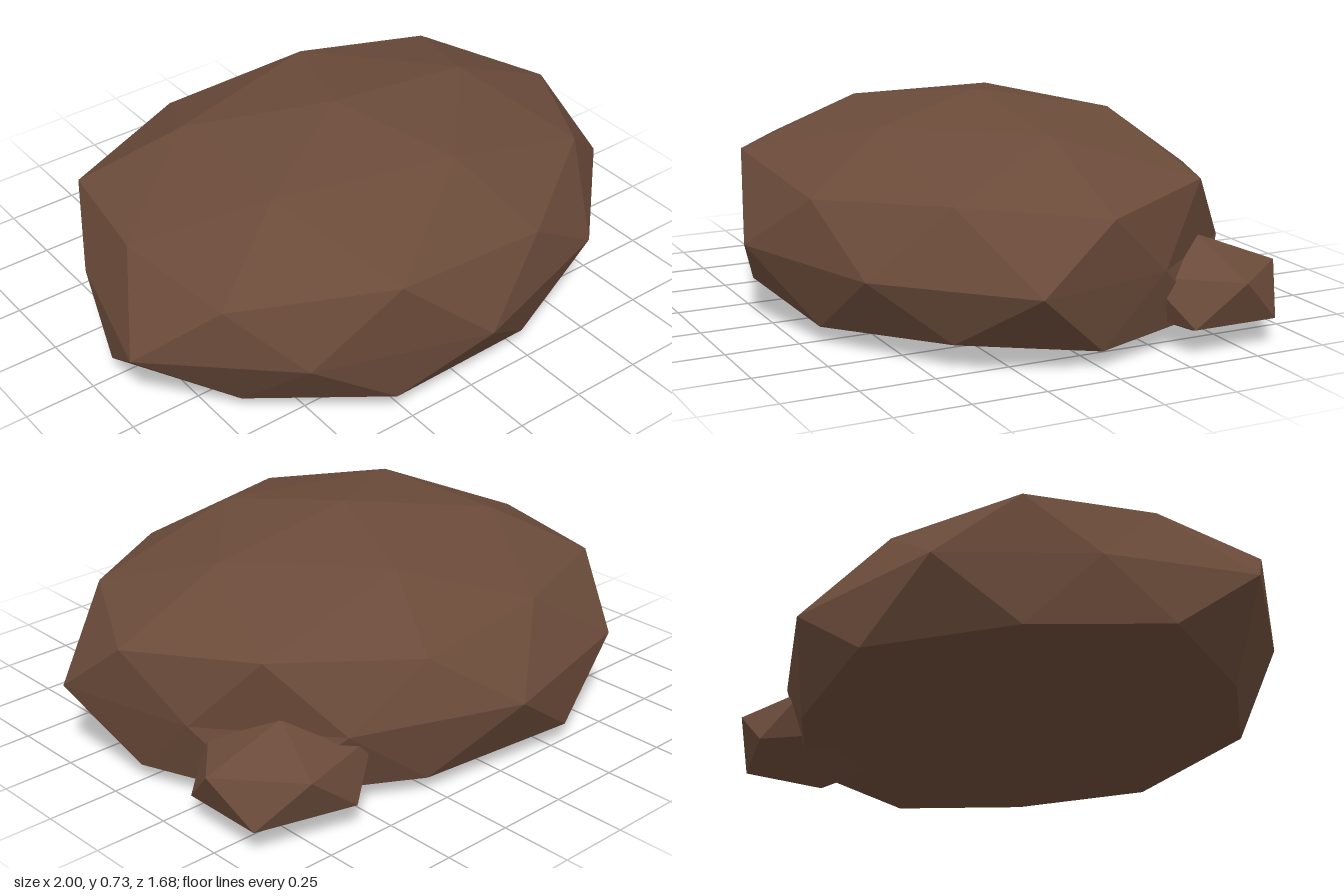
import * as THREE from 'three';

const brown = new THREE.MeshStandardMaterial({ color: 0x6b4b3a });
brown.name = 'brown stone';

// Faceted ball with one corner pointing straight up
function facetedBall(detail) {
  const g = new THREE.IcosahedronGeometry(1, detail);
  g.rotateZ(-Math.atan2(2, 1 + Math.sqrt(5)));
  return g;
}

// Radial wear of each ring of corners, every 36 degrees from +x towards +z
const upperWear = [1.02, 1, 0.99, 1.08, 1.02, 0.93, 0.99, 0.93, 0.93, 1.03];
const middleWear = [1, 0.96, 0.99, 0.94, 1, 0.87, 0.99, 0.99, 0.91, 0.88];
const lowerWear = [1, 0.95, 1, 0.99, 0.94, 0.98, 1, 1.05, 1, 1];

function wearAt(v) {
  const turn = (THREE.MathUtils.radToDeg(Math.atan2(v.z, v.x)) + 360) / 36;
  if (Math.abs(v.y) < 0.1) return middleWear[(Math.round(turn - 0.5) + 10) % 10];
  if (Math.abs(v.y) > 0.7) return 1;
  return (v.y > 0 ? upperWear : lowerWear)[Math.round(turn) % 10];
}

// Large boulder: worn, squashed and cut flat underneath
function boulder() {
  const g = facetedBall(1);
  const p = g.attributes.position;
  const v = new THREE.Vector3();
  for (let i = 0; i < p.count; i++) {
    v.fromBufferAttribute(p, i);
    v.multiplyScalar(wearAt(v));
    p.setXYZ(i, v.x * 1.05, Math.max(0.058, 0.282 + v.y * 0.455), v.z * 0.85);
  }
  g.computeVertexNormals();
  return g;
}

// Small stone leaning against the back left of the boulder
function smallStone() {
  const g = facetedBall(0);
  g.scale(0.337, 0.165, 0.285);
  g.translate(0.69, 0.167, -0.46);
  g.computeVertexNormals();
  return g;
}

export function createModel() {
  const group = new THREE.Group();
  group.name = 'rocks';
  const parts = { boulder: boulder(), smallStone: smallStone() };
  for (const [name, geometry] of Object.entries(parts)) {
    const mesh = new THREE.Mesh(geometry, brown);
    mesh.name = name;
    group.add(mesh);
  }
  return group;
}
